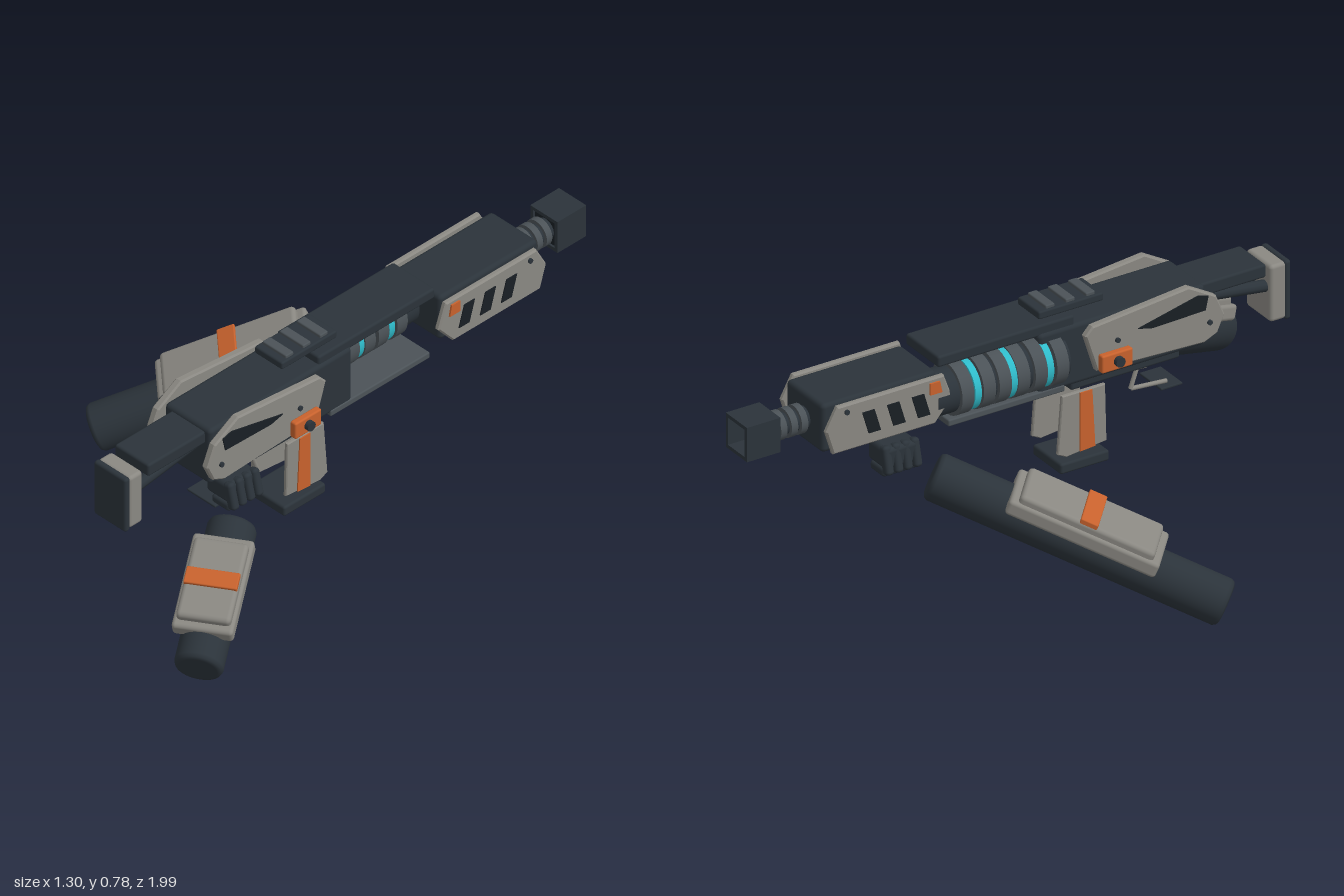
import * as THREE from 'three';
import { RoundedBoxGeometry } from 'three/addons/geometries/RoundedBoxGeometry.js';

const mat = (name, color) => Object.assign(new THREE.MeshStandardMaterial({ color }), { name });
const CX = 0.158; // centre plane of the rifle

export function createModel() {
  const dark = mat('dark steel', 0x2b333a);
  const grey = mat('armour grey', 0x8a8882);
  const orange = mat('orange accent', 0xc8622d);
  const teal = mat('teal glow', 0x2fbccb);
  const mid = mat('ring grey', 0x4b5257);
  const black = mat('recess black', 0x191f24);

  const model = new THREE.Group();
  const add = (name, geo, material, parent = model) => {
    const m = new THREE.Mesh(geo, material);
    m.name = name;
    parent.add(m);
    return m;
  };
  // rounded block given by its limits
  const block = (name, material, x0, x1, y0, y1, z0, z1, r = 0.008, parent = model) => {
    const m = add(name, new RoundedBoxGeometry(x1 - x0, y1 - y0, z1 - z0, 2, r), material, parent);
    m.position.set((x0 + x1) / 2, (y0 + y1) / 2, (z0 + z1) / 2);
    return m;
  };
  // side-profile plate: points are [z, y], centred on x
  const plate = (name, material, pts, x, thick, bevel = 0) => {
    const shape = new THREE.Shape(pts.map(p => new THREE.Vector2(...p)));
    const depth = thick - 2 * bevel;
    const geo = new THREE.ExtrudeGeometry(shape, {
      depth, bevelEnabled: bevel > 0, bevelThickness: bevel, bevelSize: bevel, bevelOffset: -bevel, bevelSegments: 1,
    });
    geo.translate(0, 0, -depth / 2).rotateY(-Math.PI / 2);
    const m = add(name, geo, material);
    m.position.x = x;
    return m;
  };
  // cylinder lying along z
  const tubeZ = (name, material, r, x, y, z0, z1) => {
    const geo = new THREE.CylinderGeometry(r, r, z1 - z0, 32).rotateX(Math.PI / 2);
    add(name, geo, material).position.set(x, y, (z0 + z1) / 2);
  };
  const rod = (name, material, a, b, r) => {
    const va = new THREE.Vector3(...a), vb = new THREE.Vector3(...b);
    add(name, new THREE.TubeGeometry(new THREE.LineCurve3(va, vb), 1, r, 10), material);
  };

  // receiver and shroud
  block('receiver', dark, 0.062, 0.254, 0.525, 0.725, -0.01, 0.57, 0.014);
  block('receiverUnderside', dark, 0.09, 0.226, 0.49, 0.53, 0.12, 0.5);
  block('frontShroud', dark, 0.06, 0.256, 0.555, 0.715, -0.765, -0.365, 0.014);
  block('spine', dark, 0.07, 0.246, 0.715, 0.752, -0.355, 0.12);
  block('lowerRail', mid, 0.06, 0.256, 0.515, 0.537, -0.325, 0.08, 0.005);
  block('sightRail', dark, 0.1, 0.216, 0.752, 0.778, 0.015, 0.24, 0.006);
  for (const z of [0.06, 0.13, 0.2]) block('sightRib', mid, 0.108, 0.208, 0.774, 0.788, z - 0.016, z + 0.016, 0.004);

  // energy core, offset to the right
  const coreX = 0.098, coreY = 0.622;
  tubeZ('core', dark, 0.072, coreX, coreY, -0.38, 0.08);
  for (const z of [0.045, -0.03, -0.09, -0.155, -0.21, -0.285]) tubeZ('coreRing', mid, 0.084, coreX, coreY, z - 0.021, z + 0.021);
  for (const z of [0.005, -0.122, -0.247]) tubeZ('glowRing', teal, 0.08, coreX, coreY, z - 0.011, z + 0.011);

  // mirrored side armour
  const rear = [[0.615, 0.63], [0.585, 0.7], [0.49, 0.755], [0.155, 0.722], [0.13, 0.695], [0.17, 0.57], [0.545, 0.555], [0.59, 0.575]];
  const front = [[-0.33, 0.63], [-0.36, 0.713], [-0.73, 0.713], [-0.77, 0.64], [-0.745, 0.56], [-0.39, 0.56]];
  for (const s of [1, -1]) {
    const X = d => CX + s * d;
    plate('rearArmour', grey, rear, X(0.119), 0.026, 0.005);
    plate('rearSlot', black, [[0.555, 0.71], [0.52, 0.72], [0.31, 0.672], [0.36, 0.66], [0.545, 0.665]], X(0.133), 0.006);
    plate('frontArmour', grey, front, X(0.119), 0.02, 0.005);
    for (const z of [-0.442, -0.528, -0.614])
      plate('vent', black, [[z + 0.032, 0.598], [z + 0.01, 0.672], [z - 0.032, 0.672], [z - 0.01, 0.598]], X(0.13), 0.005);
    plate('frontMarker', orange, [[-0.37, 0.662], [-0.378, 0.7], [-0.412, 0.7], [-0.412, 0.662]], X(0.131), 0.008);
    const latch = block('latch', orange, -0.012, 0.012, 0.57, 0.628, 0.172, 0.28, 0.006);
    latch.position.x = X(0.144);
    for (const [n, r, len, y, z, d] of [['latchKnob', 0.016, 0.016, 0.6, 0.228, 0.163],
      ['bolt', 0.008, 0.008, 0.69, -0.7, 0.132], ['bolt', 0.008, 0.008, 0.655, 0.24, 0.135], ['bolt', 0.008, 0.008, 0.62, 0.56, 0.135]]) {
      add(n, new THREE.CylinderGeometry(r, r, len, 16).rotateZ(Math.PI / 2), dark).position.set(X(d), y, z);
    }
    // magazine sides
    const mag = [[0.235, 0.485], [0.085, 0.485], [0.07, 0.295], [0.1, 0.28], [0.24, 0.295]];
    plate('magazineSide', grey, mag, X(0.069), 0.014, 0.003);
    plate('magazineStripe', orange, [[0.187, 0.482], [0.145, 0.482], [0.145, 0.288], [0.197, 0.292]], X(0.077), 0.006);
    // trigger guard
    const guard = [[0.45, 0.5], [0.36, 0.5], [0.335, 0.43], [0.46, 0.42]];
    guard.slice(0, 3).forEach((p, i) => rod('triggerGuard', grey,
      [X(0.055), p[1], p[0]], [X(0.055), guard[i + 1][1], guard[i + 1][0]], 0.007));
    // stock strut
    rod('stockStrut', dark, [X(0.035), 0.655, 0.58], [X(0.035), 0.62, 0.83], 0.019);
  }
  block('magazineBase', dark, 0.083, 0.236, 0.225, 0.26, 0.08, 0.25);
  block('triggerPlate', dark, 0.1, 0.218, 0.392, 0.4, 0.44, 0.515, 0.003);

  // stock
  block('stockBeam', dark, 0.09, 0.232, 0.668, 0.712, 0.55, 0.8);
  block('buttPlate', grey, 0.092, 0.226, 0.51, 0.698, 0.815, 0.872, 0.012);
  block('buttPad', dark, 0.092, 0.226, 0.505, 0.7, 0.866, 0.888, 0.009);

  // barrel and square muzzle
  tubeZ('barrel', dark, 0.035, CX, 0.635, -0.9, -0.75);
  for (const z of [-0.79, -0.825, -0.862]) tubeZ('barrelRing', mid, 0.046, CX, 0.635, z - 0.011, z + 0.011);
  const square = h => [[-h, -h], [h, -h], [h, h], [-h, h]].map(p => new THREE.Vector2(...p));
  const muzzle = new THREE.Shape(square(0.057));
  muzzle.holes.push(new THREE.Path(square(0.045)));
  add('muzzle', new THREE.ExtrudeGeometry(muzzle, { depth: 0.117, bevelEnabled: false }), dark).position.set(CX, 0.635, -1);
  add('muzzleBack', new THREE.BoxGeometry(0.1, 0.1, 0.02), black).position.set(CX, 0.635, -0.9);

  // gripping hands: s is the outer side
  const hand = (s, z) => {
    const g = new THREE.Group();
    g.name = 'hand';
    g.position.set(CX + s * 0.11, 0.5, z);
    model.add(g);
    block('palm', dark, -0.055, 0.045, -0.025, 0.045, -0.06, 0.06, 0.015, g);
    for (let i = 0; i < 4; i++) {
      const fz = -0.049 + i * 0.033;
      const f = block('finger', dark, -0.016, 0.016, -0.04, 0.05, fz - 0.014, fz + 0.014, 0.011, g);
      f.position.x = s * 0.045;
      f.rotation.z = s * 0.25;
      const t = block('fingerTip', dark, -0.045, 0.03, -0.05, -0.02, fz - 0.014, fz + 0.014, 0.011, g);
      t.position.x = s * 0.01;
    }
  };
  hand(-1, -0.528);
  hand(1, 0.49);

  // forearm: local y runs from a to b, local z points up and out
  const forearm = (name, a, b, width, length) => {
    const va = new THREE.Vector3(...a), vb = new THREE.Vector3(...b);
    const d = vb.clone().sub(va), h = d.length() / 2;
    d.normalize();
    const side = d.clone().cross(new THREE.Vector3(0, 1, 0)).normalize();
    const up = side.clone().cross(d);
    const g = new THREE.Group();
    g.name = name;
    g.quaternion.setFromRotationMatrix(new THREE.Matrix4().makeBasis(side, d, up));
    g.position.copy(va).add(vb).multiplyScalar(0.5);
    model.add(g);
    const profile = [[0, -h], [0.058, -h], [0.069, -h + 0.005], [0.074, -h + 0.016],
      [0.074, h - 0.016], [0.069, h - 0.005], [0.058, h], [0, h]].map(p => new THREE.Vector2(...p));
    add('limb', new THREE.LatheGeometry(profile, 40), dark, g);
    const w = width / 2, l = length / 2;
    block('armPlate', grey, -w, w, -l, l, 0.035, 0.085, 0.012, g);
    block('armPlateTop', grey, -w + 0.01, w - 0.01, -l + 0.025, l - 0.025, 0.06, 0.11, 0.014, g);
    block('armStripe', orange, -w + 0.012, w - 0.012, -0.028, 0.028, 0.1, 0.119, 0.004, g);
  };
  forearm('rightForearm', [-0.028, 0.43, -0.44], [-0.6, 0.07, 0.215], 0.21, 0.48);
  forearm('leftForearm', [0.35, 0.435, 0.57], [0.592, 0.238, 0.948], 0.185, 0.32);

  return model;
}
